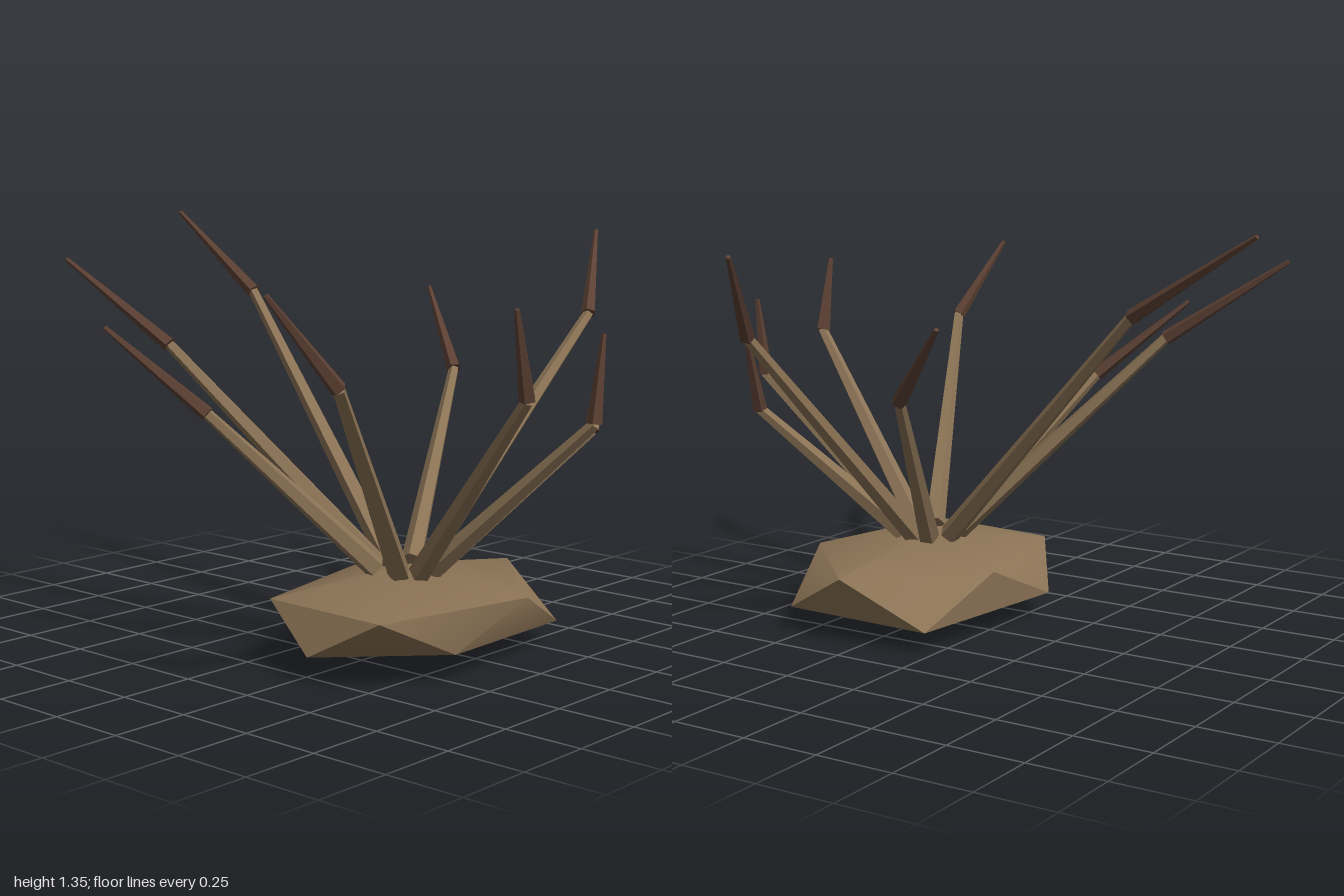
import * as THREE from 'three';
import { toCreasedNormals } from 'three/addons/utils/BufferGeometryUtils.js';

const wood = new THREE.MeshStandardMaterial({ color: 0x8b7355 });
wood.name = 'pale wood';
const darkWood = new THREE.MeshStandardMaterial({ color: 0x5c4033 });
darkWood.name = 'dark wood';

// Tapered five-sided rod between two points
function rod(name, from, to, r0, r1, material) {
  const a = new THREE.Vector3(...from), b = new THREE.Vector3(...to);
  const dir = b.clone().sub(a);
  const geo = new THREE.CylinderGeometry(r1, r0, dir.length(), 5);
  const mesh = new THREE.Mesh(toCreasedNormals(geo, 0.6), material);
  mesh.name = name;
  mesh.position.copy(a).add(b).multiplyScalar(0.5);
  mesh.quaternion.setFromUnitVectors(new THREE.Vector3(0, 1, 0), dir.normalize());
  return mesh;
}

// Squashed, irregular twenty-faced base: two staggered rings and two poles
function baseGeometry() {
  const top = [-0.1, 0.285, 0.3], bottom = [-0.1, 0, 0.3];
  const upper = [[0.42, 0.22, 0.3], [0.04, 0.215, 0.67], [-0.51, 0.215, 0.55],
    [-0.48, 0.21, 0.08], [0.04, 0.21, -0.04]];
  const lower = [[0.33, 0.07, 0.57], [-0.26, 0.09, 0.63], [-0.55, 0.08, 0.3],
    [-0.25, 0.08, -0.075], [0.35, 0.07, 0.02]];
  const p = [];
  for (let i = 0; i < 5; i++) {
    const j = (i + 1) % 5;
    p.push(...top, ...upper[j], ...upper[i]);
    p.push(...upper[i], ...upper[j], ...lower[i]);
    p.push(...upper[j], ...lower[j], ...lower[i]);
    p.push(...bottom, ...lower[i], ...lower[j]);
  }
  const geo = new THREE.BufferGeometry();
  geo.setAttribute('position', new THREE.Float32BufferAttribute(p, 3));
  return toCreasedNormals(geo, 0.79);
}

export function createModel() {
  const model = new THREE.Group();
  model.name = 'branchCluster';

  const base = new THREE.Mesh(baseGeometry(), wood);
  base.name = 'base';
  model.add(base);

  // Each branch: root, joint, tip
  const branches = [
    [[-0.19, 0.28, 0.35], [-0.78, 0.93, 0.64], [-0.985, 1.19, 0.57]],
    [[-0.14, 0.28, 0.39], [-0.38, 0.89, 0.97], [-0.46, 1.145, 0.99]],
    [[-0.08, 0.28, 0.39], [0, 0.78, 0.93], [0.03, 1.04, 0.935]],
    [[-0.03, 0.28, 0.37], [0.27, 0.71, 0.735], [0.38, 0.975, 0.695]],
    [[-0.01, 0.28, 0.31], [0.735, 1.02, 0.39], [0.98, 1.285, 0.245]],
    [[-0.015, 0.28, 0.255], [0.49, 0.825, 0.01], [0.67, 1.08, -0.25]],
    [[-0.075, 0.28, 0.21], [0.11, 1.08, -0.57], [0.17, 1.34, -1]],
    [[-0.14, 0.28, 0.22], [-0.43, 0.95, -0.41], [-0.525, 1.21, -0.795]],
    [[-0.185, 0.28, 0.25], [-0.61, 0.78, -0.05], [-0.775, 1.035, -0.32]],
  ];
  for (const [root, joint, tip] of branches) {
    const branch = new THREE.Group();
    branch.name = 'branch';
    branch.add(rod('stem', root, joint, 0.036, 0.018, wood));
    branch.add(rod('twig', joint, tip, 0.025, 0.008, darkWood));
    model.add(branch);
  }
  return model;
}
